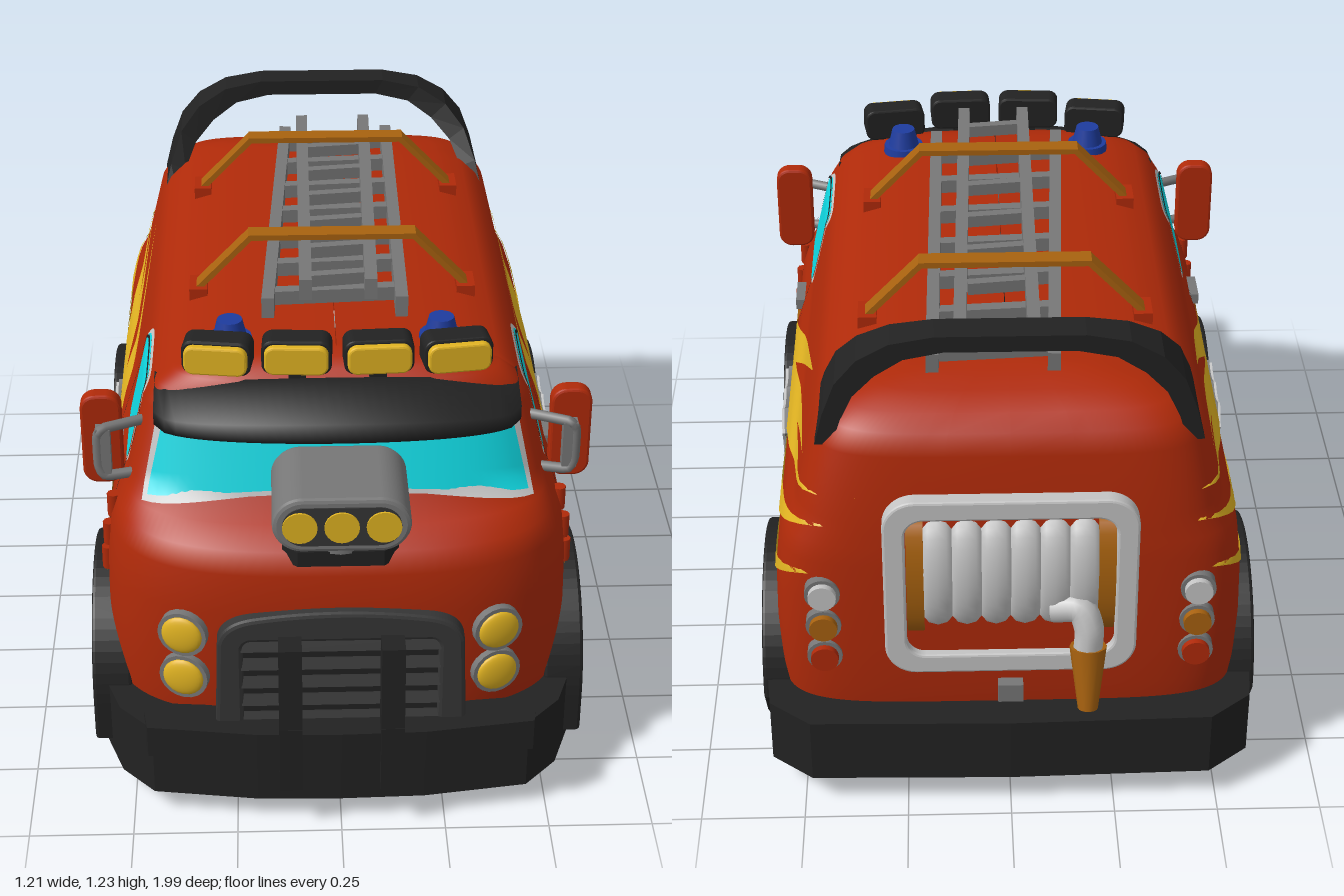
import * as THREE from 'three';

const mat = (name, color) => {
  const m = new THREE.MeshStandardMaterial({ color, side: THREE.DoubleSide });
  m.name = name;
  return m;
};
const red = mat('red paint', 0xb02a09), black = mat('black rubber', 0x222222), dark = mat('dark grey', 0x363636),
  grey = mat('grey metal', 0x777777), silver = mat('silver', 0xc4c4c4), yellow = mat('yellow', 0xe2b422),
  glass = mat('cyan glass', 0x0fd6e0), orange = mat('orange brown', 0xa8620f), blue = mat('blue lamp', 0x1e3c9e);

// Body heights: y, half width, front z, back z
const TABLE = [[.1, .53, .84, -.85], [.2, .545, .865, -.87], [.3, .555, .88, -.88], [.42, .56, .888, -.885],
  [.55, .557, .89, -.885], [.66, .545, .885, -.885], [.71, .528, .86, -.882], [.745, .508, .8, -.88],
  [.78, .497, .725, -.878], [.95, .455, .665, -.86], [1, .425, .645, -.84], [1.03, .385, .63, -.8],
  [1.052, .31, .605, -.74], [1.066, .2, .57, -.67], [1.072, .001, .53, -.61]];
const ZF = .52, ZB = -.6;
const section = y => {
  let i = 0;
  while (i < TABLE.length - 2 && y > TABLE[i + 1][0]) i++;
  const a = TABLE[i], b = TABLE[i + 1], t = Math.min(1, Math.max(0, (y - a[0]) / (b[0] - a[0])));
  return [1, 2, 3].map(k => a[k] + (b[k] - a[k]) * t);
};
const curve = (f, n) => Math.pow(Math.max(0, 1 - Math.pow(Math.abs(f), n)), 1 / n);
const frontZ = (x, y) => { const [w, f] = section(y); return ZF + (f - ZF) * curve(x / w, 3); };
const backZ = (x, y) => { const [w, , b] = section(y); return ZB + (b - ZB) * curve(x / w, 5); };
const sideX = (z, y) => {
  const [w, f, b] = section(y);
  return z > ZF ? w * curve((z - ZF) / (f - ZF), 3) : z < ZB ? w * curve((z - ZB) / (b - ZB), 5) : w;
};

// Helpers
function add(parent, name, geo, material, x = 0, y = 0, z = 0) {
  const m = new THREE.Mesh(geo, material);
  m.name = name;
  m.position.set(x, y, z);
  parent.add(m);
  return m;
}
const box = (w, h, d) => new THREE.BoxGeometry(w, h, d);
const disc = (r, d) => new THREE.CylinderGeometry(r, r, d, 20).rotateX(Math.PI / 2);
function bar(parent, name, a, b, w, h, material) {
  const p = new THREE.Vector3(...a), q = new THREE.Vector3(...b);
  const m = add(parent, name, box(w, h, p.distanceTo(q)), material);
  m.position.copy(p).add(q).multiplyScalar(.5);
  m.lookAt(q);
}
function grid(nu, nv, fn) {
  const pos = [], idx = [];
  for (let j = 0; j <= nv; j++) for (let i = 0; i <= nu; i++) {
    pos.push(...fn(i, j));
    if (i < nu && j < nv) {
      const a = j * (nu + 1) + i, b = a + nu + 1;
      idx.push(a, b, a + 1, a + 1, b, b + 1);
    }
  }
  const g = new THREE.BufferGeometry();
  g.setAttribute('position', new THREE.Float32BufferAttribute(pos, 3));
  g.setIndex(idx);
  g.computeVertexNormals();
  return g;
}
const extrude = (shape, depth, bevel = 0) => new THREE.ExtrudeGeometry(shape, { depth, curveSegments: 16,
  bevelEnabled: bevel > 0, bevelSize: bevel, bevelThickness: bevel, bevelSegments: 2 });
function rounded(w, h, r, Type = THREE.Shape, cy = 0) {
  const s = new Type(), x = w / 2 - r, y = h / 2 - r, q = Math.PI / 2;
  [[x, y], [-x, y], [-x, -y], [x, -y]].forEach(([a, b], i) => s.absarc(a, b + cy, r, i * q, (i + 1) * q));
  s.closePath();
  return s;
}
// Mirrored plan outline (x, z) raised between two heights
function slab(half, y0, y1) {
  const pts = [...half, ...half.slice().reverse().map(([x, z]) => [-x, z])].map(p => new THREE.Vector2(...p));
  return extrude(new THREE.Shape(pts), y1 - y0).rotateX(Math.PI / 2).translate(0, y1, 0);
}
// Thin panels that follow the body side; a rounded outline runs from radius r0 to r1
const onSide = (z, y, off) => [sideX(z, y) + off, y, z];
const sideRing = (cz, cy, hz, hy, r0, r1, off, lean = 0) => grid(48, 4, (i, j) => {
  const a = i / 48 * Math.PI * 2, c = Math.cos(a), s = Math.sin(a), r = r0 + (r1 - r0) * j / 4;
  const y = cy + Math.sign(s) * Math.pow(Math.abs(s), .35) * hy * r;
  return onSide(cz + Math.sign(c) * Math.pow(Math.abs(c), .35) * hz * r - lean * (y - cy), y, off);
});
const spike = ([az, ay, bz, by, tz, ty], off) => grid(20, 5, (i, j) => {
  const t = i / 20, s = j / 5, z = az + (bz - az) * s, y = ay + (by - ay) * s;
  return onSide(z + (tz - z) * t, y + (ty - y) * t, off);
});

function bodyShell() {
  const perim = [], sp = (v, e) => Math.sign(v) * Math.pow(Math.abs(v), e);
  for (let i = 0; i <= 60; i++) { const a = Math.PI * i / 60; perim.push([sp(Math.cos(a), 2 / 3), Math.pow(Math.abs(Math.sin(a)), 2 / 3)]); }
  for (let i = 1; i < 40; i++) perim.push([-1, -i / 40]);
  for (let i = 0; i <= 50; i++) { const a = Math.PI * i / 50; perim.push([-sp(Math.cos(a), .4), -1 - Math.pow(Math.abs(Math.sin(a)), .4)]); }
  for (let i = 39; i >= 0; i--) perim.push([1, -i / 40]);
  const zAt = (t, f, b) => t > 0 ? ZF + t * (f - ZF) : t < -1 ? ZB + (t + 1) * (ZB - b) : ZF + t * (ZF - ZB);
  return grid(perim.length - 1, TABLE.length - 1, (i, j) => {
    const [c, t] = perim[i], z0 = zAt(t, .88, -.88);
    let y = TABLE[j][0];
    // wheel arches lift the lower edge
    if (Math.abs(c) > .6) for (const wz of [.47, -.51]) {
      const d = .24 ** 2 - (z0 - wz) ** 2;
      if (d > 0) y = Math.max(y, .2 + Math.sqrt(d));
    }
    const [w, f, b] = section(y);
    return [c * w, y, zAt(t, f, b)];
  });
}

function wheel() {
  const g = new THREE.Group();
  g.name = 'wheel';
  const prof = [[.05, .19], [.17, .19], [.2, .215], [.2, .3], [.185, .31], [.185, .33], [.2, .34], [.2, .43], [.185, .44],
    [.185, .46], [.2, .47], [.2, .54], [.186, .568], [.138, .57], [.13, .545], [.001, .545]];
  add(g, 'tyre', new THREE.LatheGeometry(prof.map(p => new THREE.Vector2(...p)), 36).rotateZ(-Math.PI / 2), black);
  for (const a of [.1, .1 + Math.PI]) add(g, 'sidewallFlash', new THREE.RingGeometry(.14, .186, 16, 1, a, 1.25).rotateY(Math.PI / 2), silver, .573);
  add(g, 'rimRing', new THREE.TorusGeometry(.124, .016, 8, 36).rotateY(Math.PI / 2), red, .565);
  add(g, 'rimPlate', new THREE.CircleGeometry(.095, 24).rotateY(Math.PI / 2), grey, .549);
  for (let i = 0; i < 10; i++) {
    const a = i * Math.PI / 5, c = Math.cos(a), s = Math.sin(a);
    bar(g, 'spoke', [.56, c * .04, s * .04], [.56, c * .12, s * .12], .024, .024, red);
    if (i % 2) add(g, 'wheelNut', disc(.01, .02).rotateY(Math.PI / 2), grey, .575, c * .035, s * .035);
  }
  add(g, 'hub', disc(.05, .03).rotateY(Math.PI / 2), red, .56);
  add(g, 'hubCap', disc(.018, .03).rotateY(Math.PI / 2), dark, .57);
  return g;
}

// Everything found on one flank
function flank() {
  const g = new THREE.Group();
  for (const z of [.47, -.51]) {
    const w = wheel();
    w.position.set(0, .2, z);
    g.add(w);
    const s = new THREE.Shape();
    s.moveTo(.27, -.1); s.absarc(0, 0, .27, 0, Math.PI); s.lineTo(-.27, -.1);
    s.lineTo(-.205, -.1); s.absarc(0, 0, .205, Math.PI, 0, true); s.lineTo(.205, -.1);
    add(g, 'fender', extrude(s, .08, .008).rotateY(Math.PI / 2), black, .513, .2, z);
  }
  add(g, 'sideSkirt', box(.08, .1, .54), black, .53, .12, -.02);
  for (const y of [.33, .245]) add(g, 'skirtVent', box(.02, .018, .16), black, .565, y, .17);
  // Painted flashes
  [[.24, .66, .16, .59, -.45, .93], [.04, .68, -.06, .62, -.7, .86], [.25, .61, -.1, .6, -.86, .84],
    [-.12, .55, -.22, .46, -.88, .77], [-.1, .43, -.27, .3, -.88, .64], [.16, .17, -.08, .17, -.52, .5]]
    .forEach(p => add(g, 'yellowFlash', spike(p, .004), yellow));
  add(g, 'doorFlash', spike([.23, .7, .23, .52, .62, .49], .004), orange);
  [[.25, .5, .24, .36, -.35, .61], [.25, .32, .2, .18, -.42, .53]].forEach(p => add(g, 'silverFlash', spike(p, .006), silver));
  // Shield badge
  const sh = new THREE.Shape();
  sh.moveTo(0, -.15); sh.quadraticCurveTo(.13, -.12, .125, -.02); sh.quadraticCurveTo(.1, .05, .14, .1);
  sh.lineTo(.1, .15); sh.quadraticCurveTo(.05, .12, 0, .15); sh.quadraticCurveTo(-.05, .12, -.1, .15);
  sh.lineTo(-.14, .1); sh.quadraticCurveTo(-.1, .05, -.125, -.02); sh.quadraticCurveTo(-.13, -.12, 0, -.15);
  add(g, 'shieldEdge', extrude(sh, .015).rotateY(Math.PI / 2).scale(1, 1.04, 1.04), grey, .55, .46, -.025);
  add(g, 'shieldBadge', extrude(sh, .022).rotateY(Math.PI / 2), silver, .55, .46, -.025);
  // Door, window, handle and mirror
  add(g, 'doorSeam', sideRing(.4, .72, .175, .25, .975, 1, .006, .05), black);
  add(g, 'sideWindowFrame', sideRing(.388, .868, .152, .115, .9, 1, .003, .1), silver);
  add(g, 'sideWindow', sideRing(.388, .868, .152, .115, 0, .93, .005, .1), glass);
  add(g, 'doorHandle', box(.03, .028, .1), grey, .535, .7, .31);
  for (const y of [.53, .6, .68]) add(g, 'doorHinge', new THREE.CylinderGeometry(.016, .016, .06, 8), red, sideX(.59, y), y, .59);
  add(g, 'mirror', extrude(rounded(.085, .225, .03), .03, .006), red, .558, .85, .54);
  const arm = [[.45, .77, .58], [.55, .77, .605], [.565, .8, .605], [.565, .88, .605], [.55, .9, .605], [.45, .9, .56]];
  add(g, 'mirrorBracket', new THREE.TubeGeometry(new THREE.CatmullRomCurve3(arm.map(p => new THREE.Vector3(...p)), false, 'catmullrom', .2), 30, .013, 8), grey);
  add(g, 'mirrorClamp', box(.035, .12, .03), grey, .553, .84, .6);
  // Headlights and tail lights
  for (const y of [.49, .365]) {
    const h = new THREE.Group();
    h.name = 'headlight';
    h.position.set(.367, y, frontZ(.367, y));
    h.rotation.y = .3;
    add(h, 'headlightRim', disc(.06, .04), grey);
    add(h, 'headlightLens', new THREE.SphereGeometry(.05, 20, 8, 0, Math.PI * 2, 0, Math.PI / 2).rotateX(Math.PI / 2).scale(1, 1, .3), yellow, 0, 0, .02);
    g.add(h);
  }
  [silver, orange, red].forEach((m, i) => {
    const y = .58 - i * .09, z = backZ(.44, y);
    add(g, 'tailLightRim', disc(.042, .03), grey, .44, y, z);
    add(g, 'tailLight', disc(.033, .05), m, .44, y, z - .006);
  });
  // Beacon and roof lamps
  add(g, 'beaconBase', new THREE.CylinderGeometry(.052, .055, .03, 16), blue, .25, 1.06, .48);
  add(g, 'beacon', new THREE.CylinderGeometry(.03, .042, .05, 16), blue, .25, 1.095, .48);
  [[.28, 1.092, .615, .14], [.095, 1.107, .645, .05]].forEach(([x, y, z, turn]) => {
    const l = new THREE.Group();
    l.name = 'roofLamp';
    l.position.set(x, y, z);
    l.rotation.y = turn;
    add(l, 'lampHousing', extrude(rounded(.152, .076, .02), .055, .005), black, 0, 0, -.05);
    add(l, 'lampLens', extrude(rounded(.138, .061, .018), .012, .005), yellow, 0, 0, .01);
    add(l, 'lampStand', box(.04, .06, .03), black, 0, -.05, -.03);
    g.add(l);
  });
  return g;
}

export function createModel() {
  const root = new THREE.Group();
  root.name = 'fireTruck';
  add(root, 'body', bodyShell(), red);
  const left = flank(), right = flank();
  left.name = 'leftSide'; right.name = 'rightSide';
  right.scale.x = -1;
  root.add(left, right);

  // Windscreen, visor and scoop
  const screen = (grow, off) => grid(40, 8, (i, j) => {
    const s = i / 20 - 1, t = j / 8, b = 1 - s * s;
    const y = (.765 + .035 * b - grow) * (1 - t) + (.955 + .02 * b + grow) * t, x = s * (.45 - .045 * t + grow);
    return [x, y, frontZ(x, y) + off];
  });
  add(root, 'windscreenFrame', screen(.013, .005), silver);
  add(root, 'windscreen', screen(0, .009), glass);
  add(root, 'visor', grid(32, 4, (i, j) => {
    const s = i / 16 - 1, x = s * .43, b = 1 - s * s, out = .64 + .125 * Math.pow(b, .5);
    const [dz, y] = [[-.13, .93 + .02 * b], [0, .93 + .015 * b], [0, .965 + .03 * b], [-.13, 1 + .045 * b], [-.13, .93 + .02 * b]][j];
    return [x, y, out + dz];
  }), black);
  add(root, 'scoop', extrude(rounded(.295, .12, .06), .22, .01), grey, 0, .837, .715);
  add(root, 'scoopFace', extrude(rounded(.27, .1, .05), .004), dark, 0, .837, .944);
  for (const x of [-.095, 0, .095]) add(root, 'scoopLamp', disc(.04, .016), yellow, x, .837, .945);
  add(root, 'scoopNeck', new THREE.CylinderGeometry(.065, .065, .08, 16), grey, 0, .76, .82);
  add(root, 'scoopBase', slab([[0, .88], [.1, .88], [.135, .85], [.135, .74], [0, .74]], .685, .725), black);

  // Grille, bumpers and bull bar
  const arch = new THREE.Shape();
  arch.moveTo(-.29, -.1); arch.lineTo(-.28, .19); arch.quadraticCurveTo(-.27, .24, -.2, .25);
  arch.quadraticCurveTo(0, .28, .2, .25); arch.quadraticCurveTo(.27, .24, .28, .19); arch.lineTo(.29, -.1);
  arch.holes.push(rounded(.48, .27, .03, THREE.Path, .07));
  add(root, 'grilleSurround', extrude(arch, .1, .01), dark, 0, .3, .805);
  add(root, 'grilleBack', box(.5, .3, .03), black, 0, .37, .88);
  for (let i = 0; i < 5; i++) add(root, 'grilleSlat', box(.47, .028, .02), dark, 0, .27 + i * .052, .9).rotation.x = -.4;
  add(root, 'frontBumper', slab([[0, .955], [.2, .95], [.45, .915], [.53, .83], [.58, .69], [.5, .62], [.42, .72], [0, .8]], .06, .25), black);
  add(root, 'bumperLip', slab([[0, .975], [.2, .97], [.46, .935], [.47, .87], [.45, .84], [0, .88]], .185, .27), black);
  for (const x of [-.12, .12]) {
    bar(root, 'bullBar', [x, .12, .96], [x, .3, .96], .055, .07, black);
    bar(root, 'bullBar', [x, .28, .96], [x, .515, .945], .055, .07, black);
  }
  add(root, 'rearBumper', slab([[0, -.96], [.48, -.95], [.58, -.87], [.595, -.72], [.5, -.7], [.45, -.8], [0, -.84]], .08, .25), black);
  for (let i = 0; i < 8; i++) add(root, 'diffuserFin', box(.035, .06, .15), red, i * .085 - .3, .09, -.85);
  add(root, 'towHitch', box(.06, .05, .04), grey, 0, .3, -.89);

  // Hose reel at the back
  const frame = rounded(.58, .48, .07);
  frame.holes.push(rounded(.5, .4, .05, THREE.Path));
  add(root, 'reelFrame', extrude(frame, .03, .006), silver, 0, .61, -.9);
  for (let i = 0; i < 6; i++)
    add(root, 'hoseCoil', new THREE.TorusGeometry(.115, .037, 10, 28).rotateY(Math.PI / 2).scale(1, 1, .4), silver, -.17 + i * .068, .64, -.87);
  for (const x of [-.222, .222]) add(root, 'reelEnd', disc(.16, .04).rotateY(Math.PI / 2).scale(1, 1, .33), orange, x, .63, -.87);
  const hose = [[-.1, .55, -.9], [-.16, .56, -.92], [-.18, .52, -.935], [-.18, .46, -.94]].map(p => new THREE.Vector3(...p));
  add(root, 'hoseEnd', new THREE.TubeGeometry(new THREE.CatmullRomCurve3(hose), 16, .035, 10), silver);
  add(root, 'nozzle', new THREE.CylinderGeometry(.044, .024, .16, 12), orange, -.18, .385, -.955).rotation.x = .25;

  // Ladder and straps
  const rails = [[-.16, .42, -.105, -.68, 0], [.16, .42, .175, -.68, 0], [-.07, .44, -.06, -.62, .058], [.085, .44, .11, -.62, .058]];
  for (const [x0, z0, x1, z1, up] of rails) bar(root, 'ladderRail', [x0, 1.115 + up, z0], [x1, 1.085 + up, z1], .03, .052, grey);
  for (let i = 0; i < 7; i++) {
    const z = .35 - i * .16, t = i / 7;
    bar(root, 'ladderRung', [-.155 + .05 * t, 1.112 - .028 * t, z], [.165, 1.112 - .028 * t, z - .02], .03, .035, grey);
    if (i < 6) bar(root, 'upperRung', [-.07, 1.17 - .028 * t, z + .03], [.09, 1.17 - .028 * t, z + .01], .025, .03, grey);
  }
  for (const z of [.19, -.4]) {
    bar(root, 'strapTop', [-.205, 1.2, z], [.205, 1.2, z], .048, .014, orange);
    for (const s of [-1, 1]) {
      bar(root, 'strapSide', [s * .2, 1.2, z], [s * .335, 1.06, z], .048, .014, orange);
      add(root, 'strapFoot', box(.045, .04, .08), red, s * .33, 1.05, z);
    }
  }

  // Roll hoop: outer x, y and inner x
  const half = [[.445, .95, .405], [.425, 1.03, .385], [.395, 1.11, .355], [.345, 1.17, .305], [.27, 1.212, .24], [.17, 1.23, .15]];
  const hoop = [...half, ...half.slice().reverse().map(([x, y, n]) => [-x, y, -n])];
  add(root, 'rollHoop', grid(4, hoop.length - 1, (i, j) => {
    const [x, y, n] = hoop[j], iy = y - .04 * Math.min(1, (y - .95) / .2), zf = -.57 - .15 * (y - .95) / .28;
    return [[x, y, zf], [x, y, -.8], [n, iy, -.8], [n, iy, zf], [x, y, zf]][i];
  }).toNonIndexed(), black).geometry.computeVertexNormals();

  // Underside
  add(root, 'floor', box(.98, .03, 1.5), red, 0, .27, -.02);
  for (const s of [-1, 1]) add(root, 'chassisBeam', box(.1, .1, .5), red, s * .3, .2, -.02);
  add(root, 'engineSump', box(.26, .14, .3), black, 0, .19, .5);
  add(root, 'driveShaft', disc(.035, 1), dark, 0, .19, -.05);
  for (const z of [.47, -.51]) add(root, 'axle', disc(.035, .5).rotateY(Math.PI / 2), dark, 0, .2, z);
  add(root, 'differential', new THREE.SphereGeometry(.08, 14, 10), dark, 0, .2, -.51);
  add(root, 'exhaust', disc(.03, .5), dark, .14, .13, -.62);
  return root;
}
